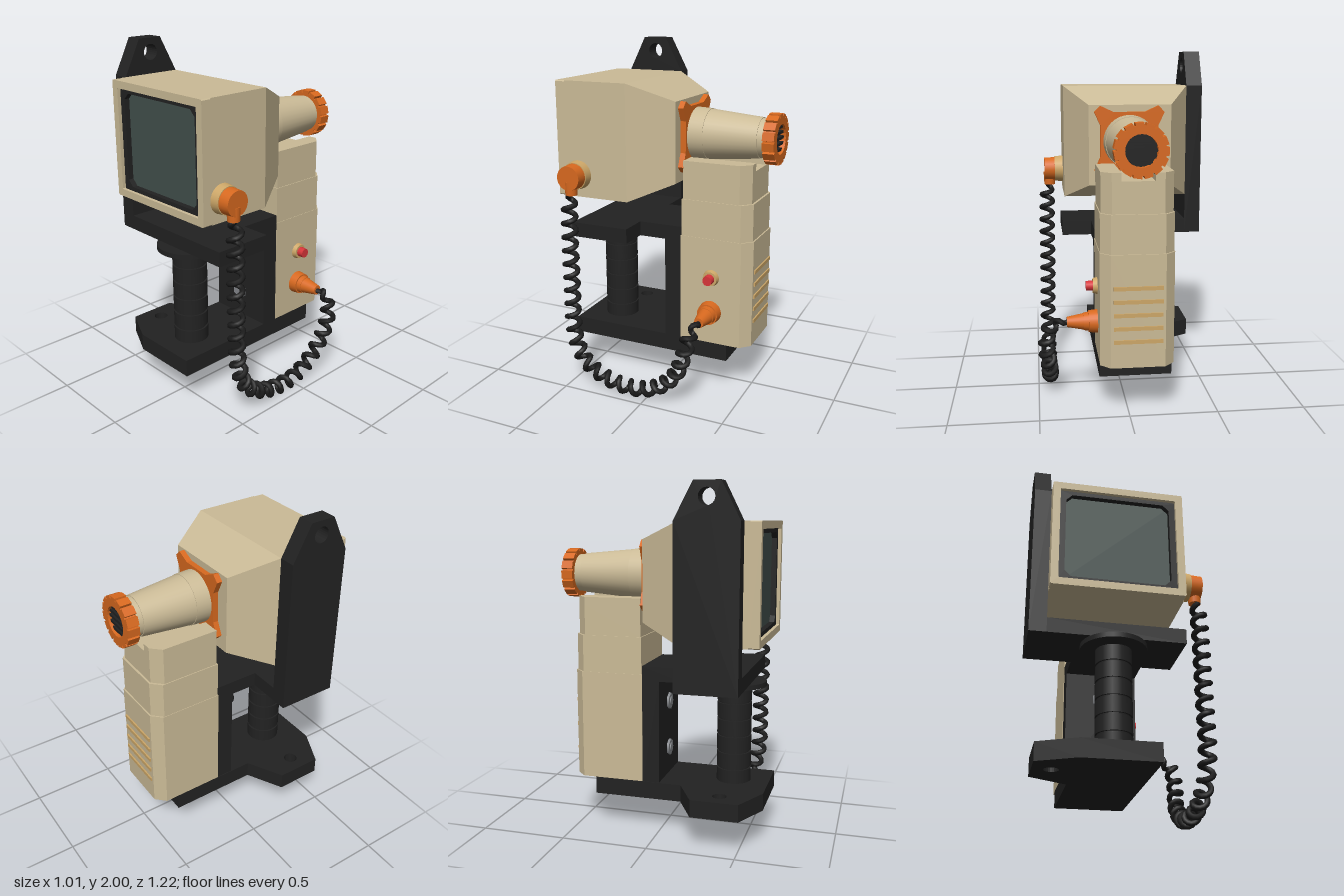
import * as THREE from 'three';

const mat = (name, color) => {
  const m = new THREE.MeshStandardMaterial({ color });
  m.name = name;
  return m;
};
const CX = -0.043; // centre line of the rear column and barrel

// Polygon (optionally with holes) from [x, y] pairs
function poly(points, ...holes) {
  const s = new THREE.Shape(points.map(p => new THREE.Vector2(...p)));
  holes.forEach(h => s.holes.push(h));
  return s;
}
function circlePath(x, y, r) {
  const p = new THREE.Path();
  p.absarc(x, y, r, 0, Math.PI * 2, true);
  return p;
}
const extrude = (shape, depth) =>
  new THREE.ExtrudeGeometry(shape, { depth, bevelEnabled: false, curveSegments: 12 });
// Shape drawn in x/z, standing between y0 and y1
const slab = (shape, y0, y1) => extrude(shape, y1 - y0).rotateX(Math.PI / 2).translate(0, y1, 0);
// Rectangle with cut corners
const cutRect = (w, h, c) => [[-w + c, -h], [w - c, -h], [w, -h + c], [w, h - c],
  [w - c, h], [-w + c, h], [-w, h - c], [-w, -h + c]];
// Round part along +x, r0 at x0 and r1 at x1
const xCyl = (r0, r1, x0, x1, y, z, n = 24) => new THREE.CylinderGeometry(r1, r0, x1 - x0, n)
  .rotateZ(-Math.PI / 2).translate((x0 + x1) / 2, y, z);
// Round part along z, r0 at z0 and r1 at z1 (z1 is further back)
const zCyl = (r0, r1, z0, z1, x, y, n = 24) => new THREE.CylinderGeometry(r1, r0, z0 - z1, n)
  .rotateX(-Math.PI / 2).translate(x, y, (z0 + z1) / 2);
const box = (x0, x1, y0, y1, z0, z1) => new THREE.BoxGeometry(x1 - x0, y1 - y0, z1 - z0)
  .translate((x0 + x1) / 2, (y0 + y1) / 2, (z0 + z1) / 2);

export function createModel() {
  const beige = mat('beige shell', 0xcbbb97), black = mat('black frame', 0x222222),
    orange = mat('orange plastic', 0xd8691f), glass = mat('screen glass', 0x42504c),
    tan = mat('tan trim', 0xcda768), red = mat('red button', 0xd8353a),
    steel = mat('grey steel', 0x85888c), rubber = mat('black rubber', 0x1b1b1b);
  const model = new THREE.Group();
  model.name = 'handheldScanner';
  const add = (name, geometry, material) => {
    const m = new THREE.Mesh(geometry, material);
    m.name = name;
    model.add(m);
    return m;
  };

  // Monitor housing: straight front half, tapered rear half
  const shell = new THREE.BoxGeometry(0.74, 0.66, 2, 1, 1, 2).toNonIndexed();
  const p = shell.attributes.position;
  for (let i = 0; i < p.count; i++) {
    const z = p.getZ(i), rear = z < -0.5;
    p.setXYZ(i, p.getX(i) * (rear ? 0.64 : 1) - 0.05, p.getY(i) * (rear ? 0.695 : 1) + 1.47,
      rear ? -0.08 : z > 0.5 ? 0.54 : 0.16);
  }
  shell.computeVertexNormals();
  add('monitorHousing', shell, beige);
  add('monitorRim', extrude(poly(cutRect(0.37, 0.33, 0.006), poly(cutRect(0.328, 0.288, 0.004))), 0.06)
    .translate(-0.05, 1.47, 0.54), beige);
  add('screenBezel', extrude(poly(cutRect(0.328, 0.288, 0.004), poly(cutRect(0.294, 0.264, 0.035))), 0.04)
    .translate(-0.05, 1.47, 0.54), black);
  add('screen', box(-0.345, 0.245, 1.205, 1.735, 0.541, 0.549), glass);

  // Side bracket with hanging hole, drawn in z/y
  add('sideBracket', extrude(poly([[0.16, 0.9], [0.51, 0.9], [0.51, 1.8], [0.41, 2], [0.265, 2], [0.16, 1.8]],
    circlePath(0.335, 1.92, 0.045)), 0.095).rotateY(-Math.PI / 2).translate(-0.42, 0, 0), black);
  // Shelf, back plate and foot
  add('shelf', slab(poly([[-0.42, 0.51], [-0.42, 0.16], [-0.245, 0.16], [-0.245, -0.1], [0.16, -0.1],
    [0.16, 0.16], [0.335, 0.16], [0.335, 0.51]]), 0.9, 0.985), black);
  add('backPlate', box(-0.245, 0.16, 0.3, 0.9, -0.1, 0), black);
  add('foot', slab(poly([[-0.25, 0.61], [-0.46, 0.51], [-0.46, 0.24], [-0.25, 0.13], [-0.25, -0.39],
    [0.16, -0.39], [0.16, 0.61]], circlePath(-0.36, 0.385, 0.04)), 0.2, 0.3), black);
  for (const y of [0.745, 0.46]) {
    add('hexBolt', zCyl(0.05, 0.05, 0.014, 0, CX, y, 6), steel);
    add('boltHead', zCyl(0.026, 0.026, 0.02, 0, CX, y, 12), steel);
  }

  // Ribbed grip between foot and shelf
  add('gripCore', new THREE.CylinderGeometry(0.09, 0.09, 0.6, 24).translate(-0.045, 0.6, 0.4), black);
  for (let i = 0; i < 6; i++) {
    add('gripRing', new THREE.CylinderGeometry(0.1, 0.1, 0.086, 24)
      .translate(-0.045, 0.335 + i * 0.098, 0.4), black);
  }
  add('gripFlange', new THREE.CylinderGeometry(0.183, 0.183, 0.028, 32).translate(-0.045, 0.884, 0.4), black);

  // Rear column: stacked blocks with cut back corners
  const c = 0.055;
  const footprint = (w, z0, z1) => poly([[CX - w, z0], [CX + w, z0], [CX + w, z1 + c],
    [CX + w - c, z1], [CX - w + c, z1], [CX - w, z1 + c]]);
  add('columnLower', slab(footprint(0.205, -0.1, -0.522), 0.3, 0.935), beige);
  add('columnMiddle', slab(footprint(0.202, -0.104, -0.514), 0.935, 1.15), beige);
  add('columnUpper', slab(footprint(0.197, -0.11, -0.502), 1.15, 1.325), beige);
  for (const s of [-1, 1]) {
    const pts = [[0.09, -0.11], [0.197, -0.11], [0.197, -0.447], [0.142, -0.502], [0.09, -0.502]];
    add('barrelCradle', slab(poly(pts.map(([x, z]) => [CX + s * x, z])), 1.325, 1.37), beige);
  }
  for (let i = 0; i < 5; i++) {
    const y = 0.45 + i * 0.075;
    add('ventSlot', box(CX - 0.135, CX + 0.135, y - 0.011, y + 0.011, -0.53, -0.521), tan);
  }

  // Barrel with four-cornered mounting flange
  const BY = 1.495;
  const star = [];
  for (let i = 0; i < 4; i++) {
    const a = i * Math.PI / 2, cs = Math.cos(a), sn = Math.sin(a);
    for (const [x, y] of [[0.2, -0.165], [0.165, -0.09], [0.165, 0.09], [0.2, 0.165], [0.165, 0.2]]) {
      star.push([x * cs - y * sn, x * sn + y * cs]);
    }
  }
  add('barrelFlange', extrude(poly(star), 0.033).translate(CX, BY, -0.112), orange);
  add('barrelBase', zCyl(0.15, 0.146, -0.1, -0.2, CX, BY, 32), beige);
  add('barrelTube', zCyl(0.143, 0.115, -0.2, -0.505, CX, BY, 32), beige);
  add('barrelNeck', zCyl(0.111, 0.108, -0.505, -0.555, CX, BY, 32), beige);

  // Toothed lens ring and dark grille
  const gear = [], teeth = 15;
  for (let i = 0; i < teeth; i++) {
    for (const [f, r] of [[0, 0.128], [0.16, 0.128], [0.2, 0.144], [0.96, 0.144]]) {
      const a = (i + f) / teeth * Math.PI * 2;
      gear.push([Math.cos(a) * r, Math.sin(a) * r]);
    }
  }
  add('lensRing', extrude(poly(gear, circlePath(0, 0, 0.085)), 0.067).translate(CX, BY, -0.612), orange);
  add('lensRecess', zCyl(0.087, 0.087, -0.55, -0.575, CX, BY), black);
  for (let i = -2; i <= 2; i++) {
    const y = BY + i * 0.032, w = Math.sqrt(0.0074 - (i * 0.032) ** 2);
    add('grilleBar', box(CX - w, CX + w, y - 0.008, y + 0.008, -0.6, -0.575), black);
  }

  // Push button on the column
  add('buttonCollar', xCyl(0.05, 0.042, 0.155, 0.187, 0.705, -0.29), tan);
  add('button', xCyl(0.03, 0.028, 0.185, 0.225, 0.705, -0.29, 12), red);

  // Lower cable plug
  add('plugBase', xCyl(0.068, 0.062, 0.155, 0.212, 0.495, -0.287), orange);
  add('plugStep', xCyl(0.054, 0.05, 0.212, 0.24, 0.495, -0.287), orange);
  add('plugCone', xCyl(0.047, 0.029, 0.24, 0.335, 0.495, -0.287), orange);

  // Upper cable connector on the monitor
  add('connectorCollar', xCyl(0.084, 0.078, 0.315, 0.37, 1.27, 0.47), tan);
  add('connectorCap', xCyl(0.074, 0.07, 0.36, 0.435, 1.27, 0.47), orange);
  add('connectorSleeve', new THREE.CylinderGeometry(0.038, 0.034, 0.08, 16).translate(0.403, 1.21, 0.47), orange);

  // Coiled cable: a helix wound round a hanging curve
  const path = new THREE.CatmullRomCurve3([[0.405, 1.2, 0.47], [0.42, 1.08, 0.475], [0.425, 0.65, 0.475],
    [0.43, 0.3, 0.46], [0.43, 0.17, 0.4], [0.43, 0.085, 0.27], [0.43, 0.055, 0.1], [0.43, 0.085, -0.05],
    [0.435, 0.19, -0.18], [0.45, 0.32, -0.24], [0.44, 0.43, -0.27], [0.39, 0.49, -0.287], [0.32, 0.495, -0.287]]
    .map(q => new THREE.Vector3(...q)));
  const turns = 26, steps = turns * 12, coil = [];
  const frames = path.computeFrenetFrames(steps, false);
  for (let i = 0; i <= steps; i++) {
    const t = i / steps, a = t * turns * Math.PI * 2;
    const r = 0.036 * Math.min(1, t * 25, (1 - t) * 14);
    coil.push(path.getPointAt(t)
      .addScaledVector(frames.normals[i], Math.cos(a) * r)
      .addScaledVector(frames.binormals[i], Math.sin(a) * r));
  }
  add('coiledCable', new THREE.TubeGeometry(new THREE.CatmullRomCurve3(coil), steps, 0.016, 7), rubber);

  return model;
}
